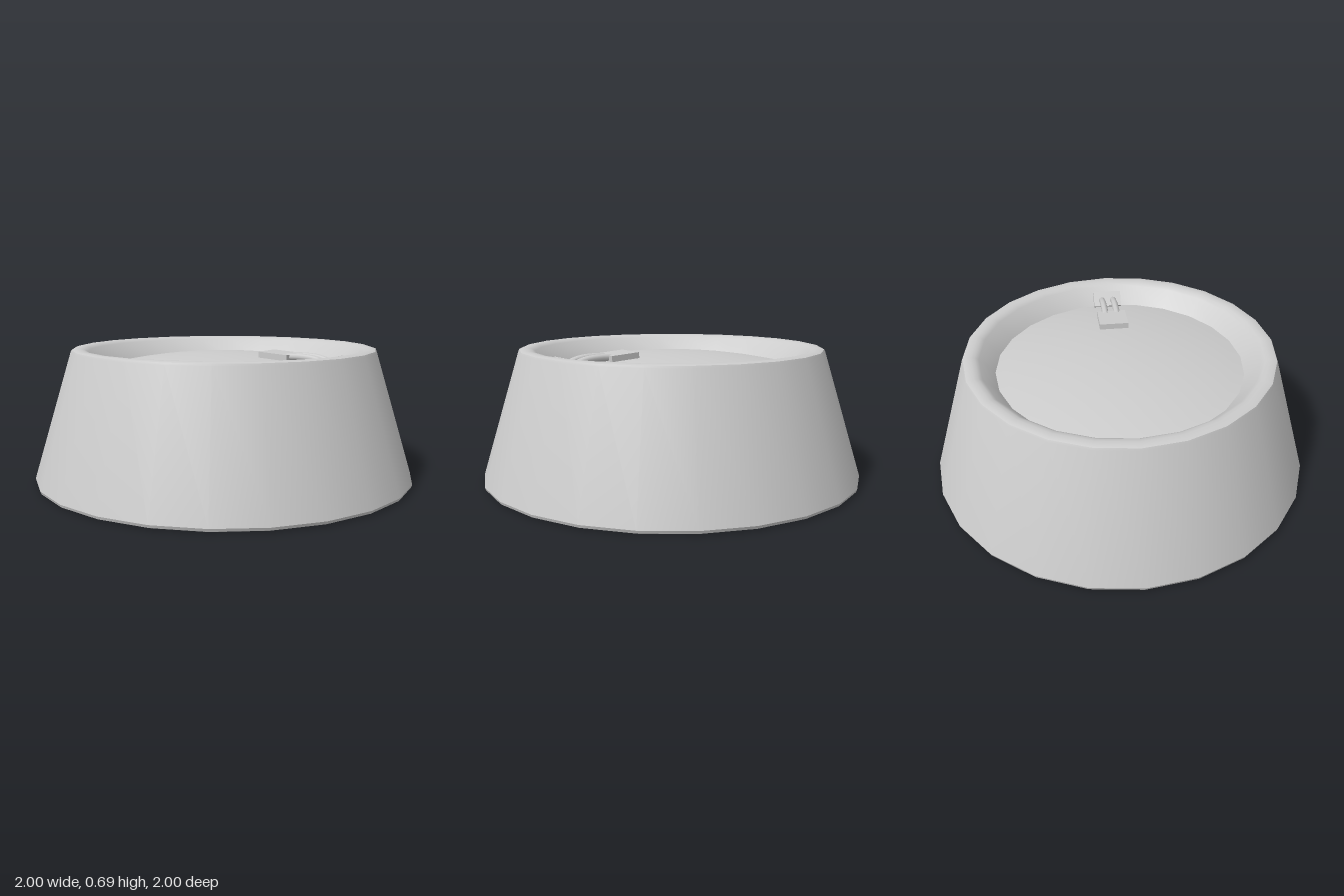
import * as THREE from 'three';
import { toCreasedNormals } from 'three/addons/utils/BufferGeometryUtils.js';

const HEIGHT = 0.69;
const SIDES = 24;

export function createModel() {
  const model = new THREE.Group();
  const grey = new THREE.MeshStandardMaterial({ color: 0xcccccc });
  grey.name = 'light grey';

  const add = (parent, name, geometry) => {
    const mesh = new THREE.Mesh(geometry, grey);
    mesh.name = name;
    parent.add(mesh);
    return mesh;
  };
  const lathe = (points) => toCreasedNormals(
    new THREE.LatheGeometry(points.map(([r, y]) => new THREE.Vector2(r, y)), SIDES), Math.PI / 5);

  // Tapered casing with rounded rims and sloping inner walls
  add(model, 'casing', lathe([
    [0.8, 0.09], [0.895, 0.016], [0.92, 0.003], [0.95, 0], [0.98, 0], [0.995, 0.006], [1, 0.02],
    [0.8, 0.675], [0.795, 0.685], [0.78, HEIGHT], [0.755, HEIGHT], [0.735, 0.687], [0.715, 0.675],
    [0.64, 0.59],
  ]));

  // Shallow domed cones closing both ends
  const dome = (radius, edgeY, rise) => [0, 0.2, 0.4, 0.6, 0.8, 0.92, 1]
    .map((t) => [radius * t, edgeY + rise * (1 - t * t)]);
  add(model, 'topCone', lathe(dome(0.64, 0.59, 0.07).reverse()));
  add(model, 'bottomCone', lathe(dome(0.8, 0.09, -0.07)));

  // Terminal pad, two lead wires and a clip on the sloping wall
  const makeTerminal = (name) => {
    const group = new THREE.Group();
    group.name = name;
    const pad = add(group, 'pad', new THREE.BoxGeometry(0.16, 0.03, 0.155));
    pad.position.set(0.34, 0.662, 0);
    pad.rotation.z = -0.06;
    for (const z of [-0.032, 0.032]) {
      const path = new THREE.CatmullRomCurve3([
        [0.4, 0.66], [0.47, 0.662], [0.55, 0.655], [0.65, 0.622],
      ].map(([x, y]) => new THREE.Vector3(x, y, z)));
      add(group, 'leadWire', new THREE.TubeGeometry(path, 10, 0.018, 8));
    }
    const clip = add(group, 'clip', new THREE.BoxGeometry(0.085, 0.045, 0.155));
    clip.position.set(0.64, 0.625, 0);
    clip.rotation.z = 0.85;
    model.add(group);
    return group;
  };
  makeTerminal('topTerminal');

  // Larger counterpart under the opposite side
  const lower = makeTerminal('bottomTerminal');
  const scale = 1.2;
  lower.scale.setScalar(scale);
  lower.rotation.z = Math.PI;
  lower.position.set(-0.02, HEIGHT * scale, 0);

  return model;
}
